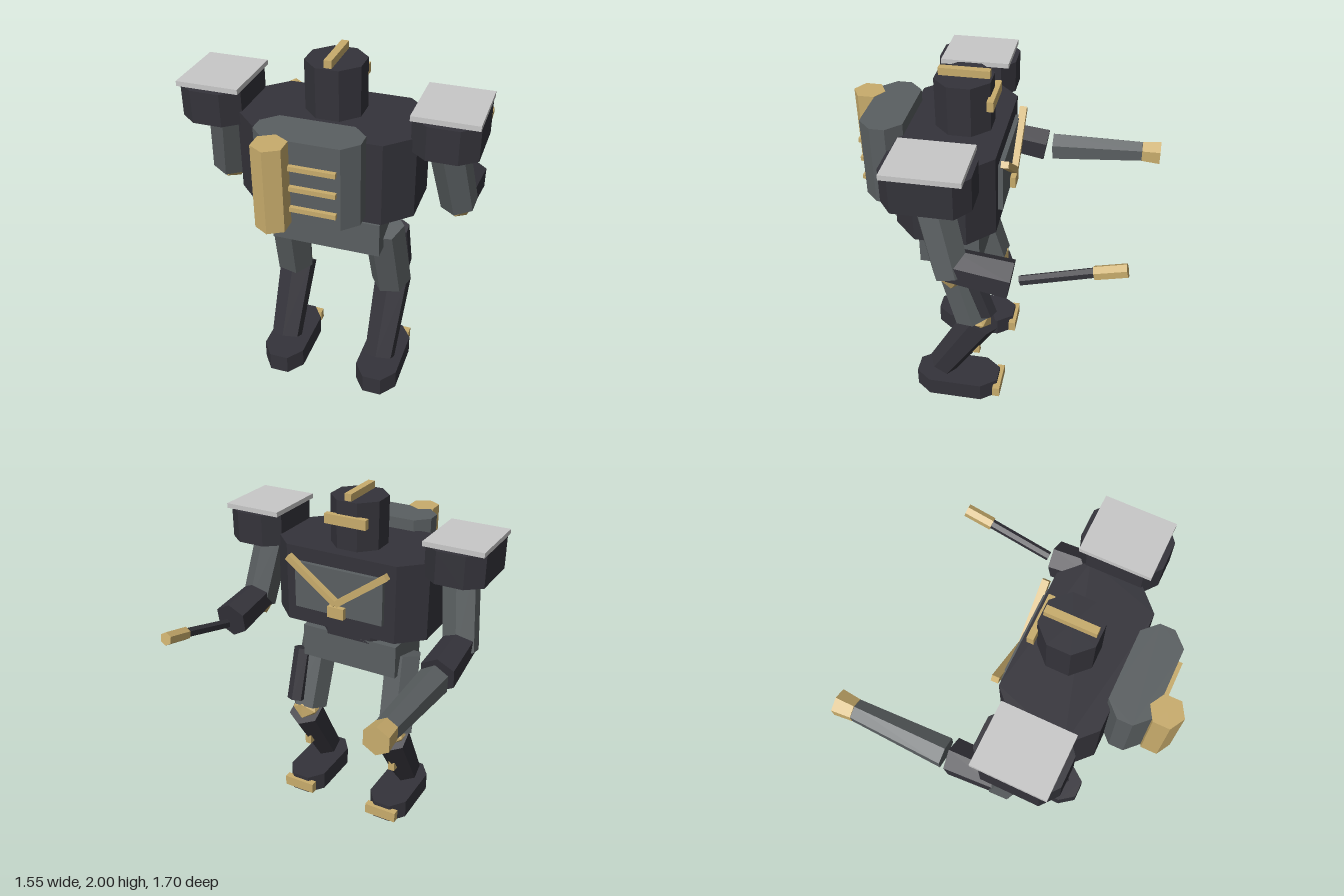
import * as THREE from 'three';

const paint = (name, color) => {
  const m = new THREE.MeshStandardMaterial({ color });
  m.name = name;
  return m;
};

export function createModel() {
  const root = new THREE.Group();
  root.name = 'robot';
  const dark = paint('charcoal', 0x34333a);
  const grey = paint('steel grey', 0x5a5f61);
  const gold = paint('brass', 0xc8ac6c);
  const pale = paint('pale grey', 0xc8c8c8);

  const add = (name, geometry, material, parent = root) => {
    const mesh = new THREE.Mesh(geometry, material);
    mesh.name = name;
    parent.add(mesh);
    return mesh;
  };

  // Axis-aligned box given by its ranges
  const box = (name, mat, [x0, x1], [y0, y1], [z0, z1], parent) => {
    const mesh = add(name, new THREE.BoxGeometry(x1 - x0, y1 - y0, z1 - z0), mat, parent);
    mesh.position.set((x0 + x1) / 2, (y0 + y1) / 2, (z0 + z1) / 2);
    return mesh;
  };

  // Upright block whose four vertical corners are cut by cx and cz
  const chamfered = (name, mat, [x0, x1], [y0, y1], [z0, z1], cx, cz, parent) => {
    const w = (x1 - x0) / 2, d = (z1 - z0) / 2;
    const outline = [
      [w - cx, -d], [w, -d + cz], [w, d - cz], [w - cx, d],
      [-w + cx, d], [-w, d - cz], [-w, -d + cz], [-w + cx, -d],
    ].map(([x, y]) => new THREE.Vector2(x, y));
    const geo = new THREE.ExtrudeGeometry(new THREE.Shape(outline), { depth: y1 - y0, bevelEnabled: false });
    geo.rotateX(-Math.PI / 2);
    const mesh = add(name, geo, mat, parent);
    mesh.position.set((x0 + x1) / 2, y0, (z0 + z1) / 2);
    return mesh;
  };

  // Faceted prism running from point a to point b
  const strut = (name, mat, a, b, ra, rb, parent) => {
    const from = new THREE.Vector3(...a), to = new THREE.Vector3(...b);
    const dir = to.clone().sub(from);
    let geo = new THREE.CylinderGeometry(rb, ra, dir.length(), 6);
    geo = geo.toNonIndexed();
    geo.computeVertexNormals();
    const mesh = add(name, geo, mat, parent);
    mesh.position.copy(from).add(to).multiplyScalar(0.5);
    mesh.quaternion.setFromUnitVectors(new THREE.Vector3(0, 1, 0), dir.normalize());
    return mesh;
  };

  const joint = (name, p, r, parent) => {
    add(name, new THREE.IcosahedronGeometry(r, 0), gold, parent).position.set(...p);
  };

  // Body
  chamfered('torso', dark, [-0.47, 0.47], [1.24, 1.69], [-0.02, 0.517], 0.135, 0.13);
  chamfered('waist', dark, [-0.22, 0.22], [1.14, 1.25], [0.08, 0.405], 0.08, 0.08);
  box('pelvis', grey, [-0.3, 0.3], [0.96, 1.157], [0.08, 0.415]);

  // Chest panel with V-shaped trim and clasp
  box('chestPanel', grey, [-0.27, 0.27], [1.34, 1.61], [-0.045, 0]);
  for (const s of [-1, 1]) {
    const dx = 0.3, dy = 0.22;
    const bar = add('chestTrim', new THREE.BoxGeometry(Math.hypot(dx, dy), 0.035, 0.04), gold);
    bar.position.set(s * dx / 2, 1.53, -0.06);
    bar.rotation.z = s * Math.atan2(dy, dx);
  }
  box('chestClasp', gold, [-0.05, 0.05], [1.335, 1.4], [-0.075, -0.02]);

  // Head
  const head = new THREE.CylinderGeometry(0.16, 0.16, 0.28, 8).toNonIndexed();
  head.rotateY(Math.PI / 8);
  head.computeVertexNormals();
  add('head', head, dark).position.set(0, 1.82, 0.203);
  box('crest', gold, [-0.02, 0.02], [1.95, 2.0], [0.066, 0.336]);
  box('visor', gold, [-0.125, 0.125], [1.83, 1.885], [0.03, 0.065]);

  // Backpack with canister and ribs
  chamfered('backpack', grey, [-0.268, 0.268], [1.31, 1.755], [0.49, 0.72], 0.075, 0.075);
  strut('canister', gold, [-0.135, 1.308, 0.766], [-0.135, 1.757, 0.766], 0.088, 0.088);
  for (const y of [1.395, 1.51, 1.622]) {
    box('backpackRib', gold, [-0.08, 0.175], [y - 0.0125, y + 0.0125], [0.7, 0.743]);
  }

  for (const s of [-1, 1]) {
    // Arm
    const arm = new THREE.Group();
    arm.name = s > 0 ? 'leftArm' : 'rightArm';
    root.add(arm);
    const px = s * 0.607;
    chamfered('shoulder', dark, [px - 0.167, px + 0.167], [1.62, 1.8], [0.024, 0.468], 0.088, 0.07, arm);
    box('shoulderPlate', pale, [px - 0.168, px + 0.168], [1.8, 1.827], [0.05, 0.438], arm);
    strut('upperArm', grey, [s * 0.58, 1.7, 0.265], [s * 0.657, 1.21, 0.145], 0.105, 0.1, arm);
    joint('elbow', [s * 0.652, 1.215, 0.142], 0.092, arm);
    strut('forearm', dark, [s * 0.65, 1.252, 0.155], [s * 0.65, 1.203, -0.155], 0.094, 0.105, arm);

    // Leg
    const leg = new THREE.Group();
    leg.name = s > 0 ? 'leftLeg' : 'rightLeg';
    root.add(leg);
    strut('thigh', grey, [s * 0.275, 1.045, 0.245], [s * 0.298, 0.595, 0.122], 0.113, 0.113, leg);
    joint('knee', [s * 0.296, 0.58, 0.1], 0.092, leg);
    strut('shin', dark, [s * 0.296, 0.565, 0.075], [s * 0.293, 0.165, 0.32], 0.108, 0.091, leg);
    box('shinStud', gold, [s * 0.295 - 0.02, s * 0.295 + 0.02], [0.3, 0.36], [0.09, 0.14], leg);
    chamfered('foot', dark, [s * 0.29 - 0.122, s * 0.29 + 0.122], [0, 0.115], [-0.02, 0.475], 0.068, 0.09, leg);
    box('toeCap', gold, [s * 0.29 - 0.1, s * 0.29 + 0.1], [0.025, 0.09], [-0.042, 0], leg);
  }

  // Thigh holster on one side only
  strut('holster', dark, [0.337, 0.97, 0.13], [0.337, 0.66, 0.03], 0.055, 0.055);

  // Heavy barrel
  strut('heavyBarrel', grey, [-0.65, 1.197, -0.2], [-0.65, 1.218, -0.742], 0.088, 0.065);
  strut('heavyMuzzle', gold, [-0.65, 1.218, -0.742], [-0.65, 1.219, -0.85], 0.066, 0.077);

  // Slim rod
  strut('slimRod', dark, [0.65, 1.2, -0.2], [0.65, 1.305, -0.565], 0.027, 0.027);
  strut('slimTip', gold, [0.65, 1.302, -0.56], [0.65, 1.341, -0.718], 0.037, 0.037);

  return root;
}
